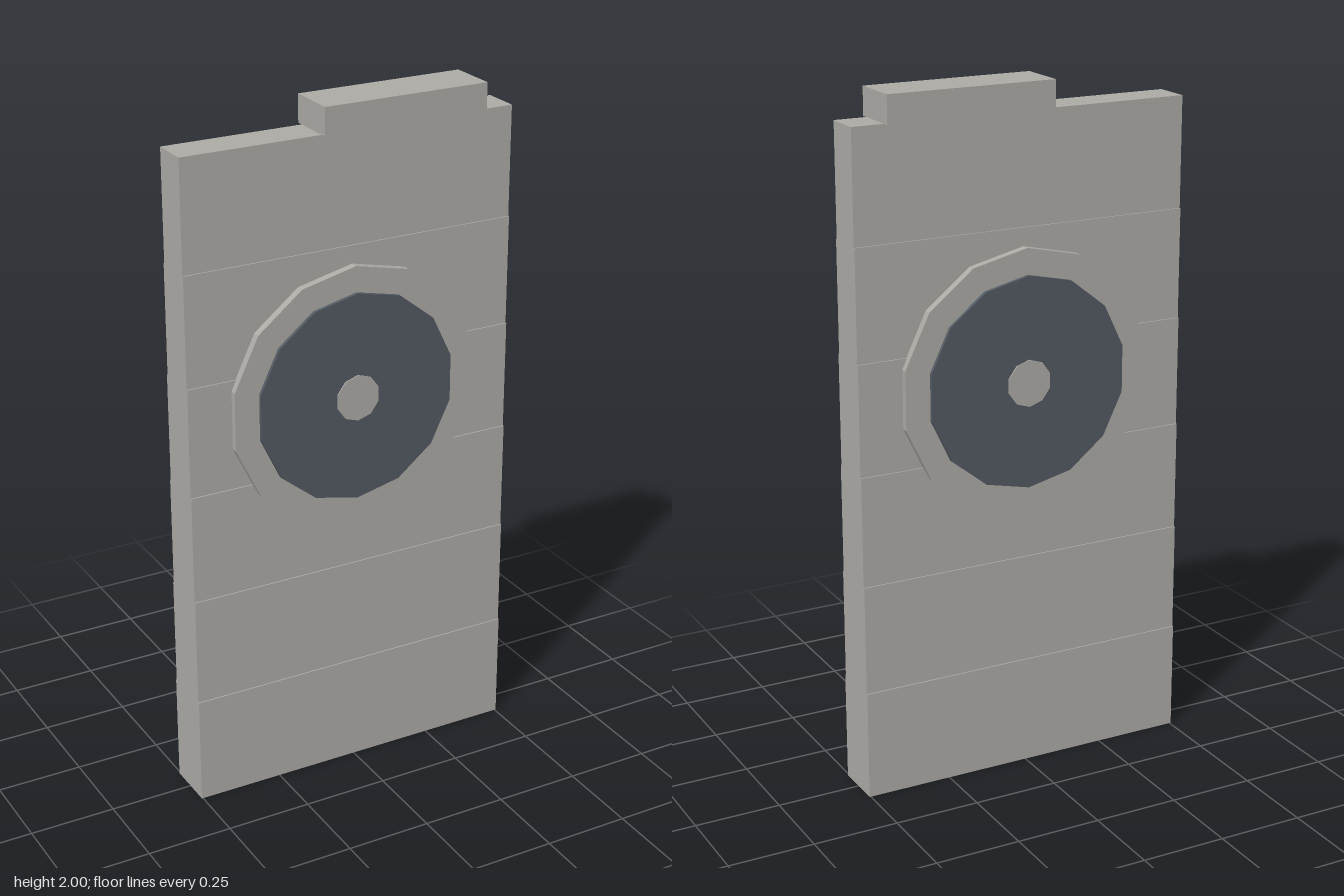
import * as THREE from 'three';

export function createModel() {
  const group = new THREE.Group();
  const stone = new THREE.MeshStandardMaterial({ color: 0xadaba6, flatShading: true });
  stone.name = 'warm grey';
  const slate = new THREE.MeshStandardMaterial({ color: 0x525a62, flatShading: true });
  slate.name = 'dark slate';

  const add = (name, geometry, material, x, y) => {
    const mesh = new THREE.Mesh(geometry, material);
    mesh.name = name;
    mesh.position.set(x, y, 0);
    group.add(mesh);
  };

  // Slab of six courses, each a little thinner than the one below
  const courses = 6, courseHeight = 0.32;
  for (let i = 0; i < courses; i++) {
    const depth = 0.152 - i * 0.0082;
    add(`slabCourse${i + 1}`, new THREE.BoxGeometry(1.008, courseHeight, depth), stone, 0, (i + 0.5) * courseHeight);
  }

  // Off-centre block on the top edge
  add('topBlock', new THREE.BoxGeometry(0.5, 0.08, 0.15), stone, 0.16, 1.96);

  // Faceted discs passing through the slab, so both faces match
  const disc = (name, radius, depth, sides, material) =>
    add(name, new THREE.CylinderGeometry(radius, radius, depth, sides).rotateX(Math.PI / 2), material, 0, 1.165);
  disc('outerRing', 0.383, 0.166, 14, stone);
  disc('darkDisc', 0.3075, 0.187, 14, slate);
  disc('hub', 0.068, 0.194, 10, stone);

  return group;
}
